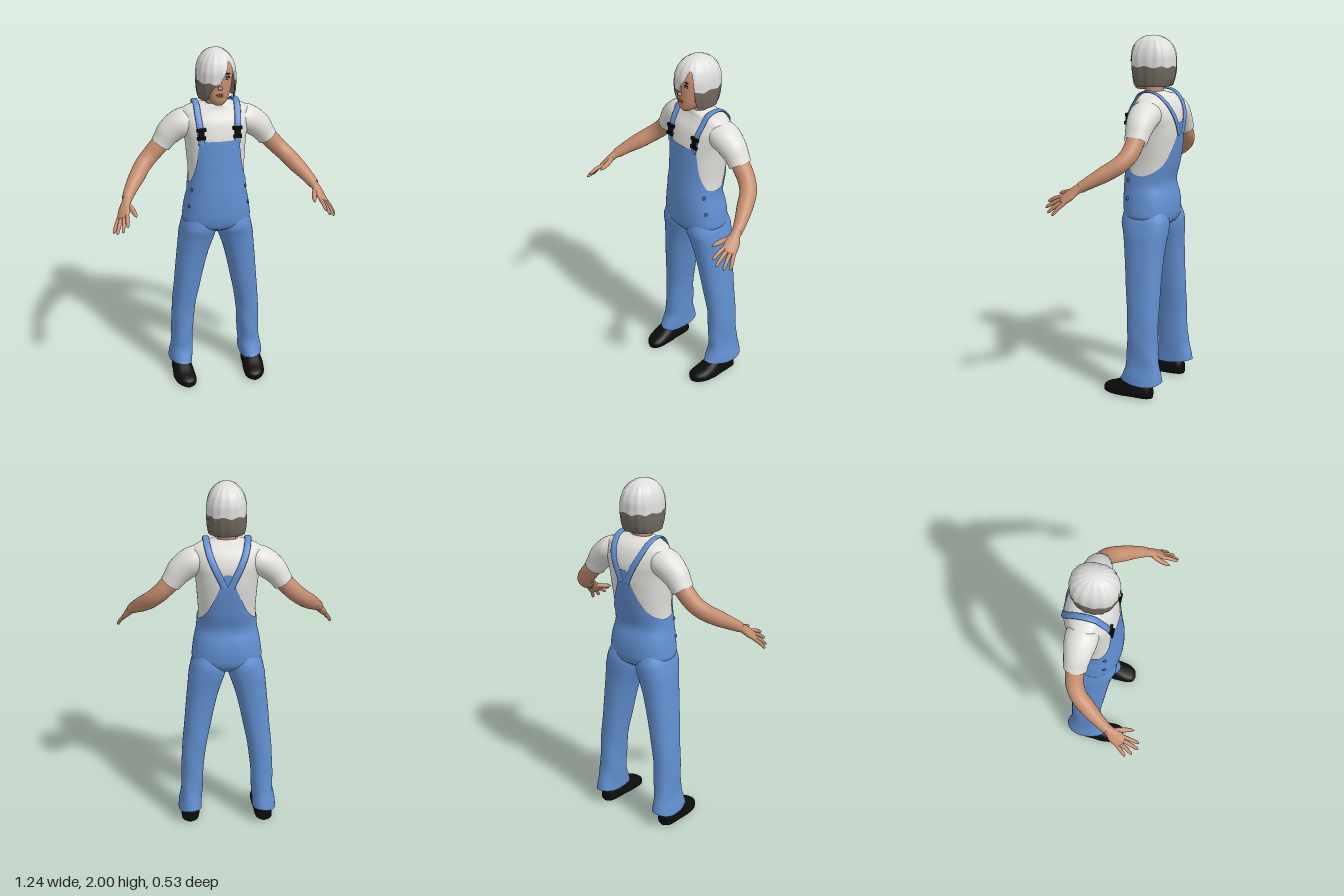
import * as THREE from 'three';

const mat = (name, color) => {
  const m = new THREE.MeshStandardMaterial({ color, side: THREE.DoubleSide });
  m.name = name;
  return m;
};
const spow = (v, e) => Math.sign(v) * Math.abs(v) ** e;

// Smooth, overshoot-free lookup in a table whose first column is the rising key
function at(rows, k) {
  const n = rows.length - 1;
  k = Math.min(Math.max(k, rows[0][0]), rows[n][0]);
  let i = 0;
  while (i < n - 1 && k > rows[i + 1][0]) i++;
  const h = rows[i + 1][0] - rows[i][0], t = (k - rows[i][0]) / h;
  return rows[i].map((_, c) => {
    const slope = j => (rows[j + 1][c] - rows[j][c]) / (rows[j + 1][0] - rows[j][0]);
    const tangent = j => {
      if (j === 0) return slope(0);
      if (j === n) return slope(n - 1);
      const a = slope(j - 1), b = slope(j);
      return a * b > 0 ? 2 * a * b / (a + b) : 0;
    };
    const t2 = t * t, t3 = t2 * t;
    return (2 * t3 - 3 * t2 + 1) * rows[i][c] + (t3 - 2 * t2 + t) * h * tangent(i)
      + (3 * t2 - 2 * t3) * rows[i + 1][c] + (t3 - t2) * h * tangent(i + 1);
  });
}

// Closed-around grid surface: u runs round, v runs along
function grid(nu, nv, fn) {
  const pos = [], idx = [];
  for (let j = 0; j <= nv; j++) for (let i = 0; i < nu; i++) pos.push(...fn(i / nu, j / nv));
  for (let j = 0; j < nv; j++) for (let i = 0; i < nu; i++) {
    const a = j * nu + i, b = j * nu + (i + 1) % nu;
    idx.push(a, b, b + nu, a, b + nu, a + nu);
  }
  const g = new THREE.BufferGeometry();
  g.setAttribute('position', new THREE.Float32BufferAttribute(pos, 3));
  g.setIndex(idx);
  g.computeVertexNormals();
  return g;
}

// Point on a stack of rounded sections [y, centreX, radiusX, zBack, zFront]; angle 0 faces front
const E = 2.3;
function ring(rows, y, angle, off = 0) {
  const [, cx, rx, zb, zf] = at(rows, y);
  return [cx + (rx + off) * spow(Math.sin(angle), 2 / E), y,
    (zb + zf) / 2 + ((zf - zb) / 2 + off) * spow(Math.cos(angle), 2 / E)];
}
// Depth of that surface at a given x, y (dir 1 front, -1 back)
function depth(rows, x, y, dir = 1) {
  const [, cx, rx, zb, zf] = at(rows, y);
  const f = Math.max(0, 1 - Math.abs((x - cx) / rx) ** E) ** (1 / E);
  return (zb + zf) / 2 + dir * f * (zf - zb) / 2;
}

// Tube through points [x, y, z, radius along side, radius across]
function limb(pts, side, nu = 20, nv = 28) {
  const curve = new THREE.CatmullRomCurve3(pts.map(p => new THREE.Vector3(p[0], p[1], p[2])));
  const radii = pts.map((p, i) => [i, p[3], p[4] ?? p[3]]);
  const ref = new THREE.Vector3(...side);
  return grid(nu, nv, (u, v) => {
    const c = curve.getPoint(v), t = curve.getTangent(v);
    const n = ref.clone().cross(t).normalize(), b = t.clone().cross(n);
    const [, rb, rn] = at(radii, v * (pts.length - 1));
    const a = u * Math.PI * 2;
    return c.addScaledVector(n, rn * Math.cos(a)).addScaledVector(b, rb * Math.sin(a)).toArray();
  });
}

const BODY = [
  [0.95, 0, 0.06, -0.17, -0.03], [0.99, 0, 0.17, -0.22, 0.03], [1.03, 0, 0.188, -0.23, 0.043],
  [1.07, 0, 0.184, -0.231, 0.048], [1.13, 0, 0.175, -0.224, 0.049], [1.2, 0, 0.161, -0.208, 0.048],
  [1.3, 0, 0.157, -0.23, 0.04], [1.4, 0, 0.163, -0.247, 0.033], [1.5, 0, 0.172, -0.257, 0.026],
  [1.55, 0, 0.184, -0.257, 0.016], [1.6, 0, 0.193, -0.247, 0], [1.65, 0, 0.186, -0.222, -0.03],
  [1.675, 0, 0.15, -0.195, -0.042], [1.69, 0, 0.085, -0.165, -0.045], [1.7, 0, 0.058, -0.15, -0.05]];
const LEG = [
  [0.09, 0.213, 0.067, -0.252, -0.002], [0.12, 0.211, 0.066, -0.246, -0.012], [0.2, 0.204, 0.062, -0.227, -0.038],
  [0.4, 0.194, 0.066, -0.215, -0.04], [0.6, 0.168, 0.075, -0.215, -0.02], [0.8, 0.137, 0.088, -0.22, 0.002],
  [0.88, 0.12, 0.097, -0.226, 0.014], [0.93, 0.109, 0.103, -0.232, 0.024], [0.98, 0.1, 0.101, -0.234, 0.038],
  [1.06, 0.095, 0.075, -0.21, 0.025]];
// Top edge of the overalls by angle in degrees from the front
const BIB = [[0, 1.51], [33, 1.51], [38, 1.47], [46, 1.38], [58, 1.31], [75, 1.26], [95, 1.25], [115, 1.265],
  [139, 1.31], [155, 1.38], [165, 1.44], [172, 1.5], [176, 1.54], [180, 1.54]];
const FACE = [
  [1.702, 0, 0, -0.03, -0.03], [1.708, 0, 0.025, -0.06, 0.006], [1.735, 0, 0.05, -0.1, 0.02],
  [1.77, 0, 0.068, -0.15, 0.024], [1.82, 0, 0.08, -0.17, 0.025], [1.87, 0, 0.085, -0.18, 0.024],
  [1.93, 0, 0.08, -0.18, 0.008], [1.97, 0, 0.045, -0.14, -0.03], [1.98, 0, 0, -0.09, -0.09]];
const HAIR = [
  [1.72, 0, 0.095, -0.19, 0], [1.74, 0, 0.1, -0.202, 0.01], [1.78, 0, 0.106, -0.215, 0.026],
  [1.835, 0, 0.108, -0.222, 0.033], [1.88, 0, 0.106, -0.222, 0.033], [1.93, 0, 0.094, -0.21, 0.02],
  [1.97, 0, 0.068, -0.18, -0.008], [1.99, 0, 0.042, -0.145, -0.04], [1.998, 0, 0.02, -0.115, -0.068],
  [2, 0, 0, -0.092, -0.092]];
// Lower hair edge by angle: sweeping fringe over one eye, open face on the other side
const HAIRLINE = [[-180, 1.728], [-45, 1.728], [-35, 1.74], [-25, 1.78], [-12, 1.815], [-4, 1.815], [5, 1.86],
  [20, 1.907], [32, 1.948], [40, 1.93], [45, 1.87], [50, 1.75], [58, 1.722], [90, 1.728], [180, 1.728]];
const SHOE = [ // [z, centreX, radiusX, height]
  [-0.197, 0.215, 0, 0.05], [-0.193, 0.215, 0.025, 0.07], [-0.175, 0.215, 0.045, 0.095], [-0.13, 0.214, 0.052, 0.12],
  [-0.07, 0.214, 0.056, 0.125], [-0.02, 0.213, 0.062, 0.1], [0.04, 0.208, 0.06, 0.066], [0.08, 0.202, 0.047, 0.052],
  [0.1, 0.2, 0.027, 0.04], [0.106, 0.2, 0, 0.03]];

export function createModel() {
  const root = new THREE.Group();
  root.name = 'workerInOveralls';
  const skin = mat('skin', 0xc58e6e), white = mat('shirtWhite', 0xe0dfdb), denim = mat('denimBlue', 0x618fd0),
    black = mat('black', 0x0c0c0c), hairWhite = mat('hairWhite', 0xdededd), hairGrey = mat('hairGrey', 0x716a5e),
    lip = mat('lipRed', 0xa5664f), eyeWhite = mat('eyeWhite', 0xd8dde2), iris = mat('irisBlue', 0x24435f),
    button = mat('buttonBlue', 0x3c629b);
  const add = (name, geo, m, parent = root) => {
    const mesh = new THREE.Mesh(geo, m);
    mesh.name = name;
    parent.add(mesh);
    return mesh;
  };
  const TAU = Math.PI * 2;
  const ease = v => Math.sin(v * Math.PI / 2);
  const blob = (name, m, p, r) => {
    const b = add(name, new THREE.SphereGeometry(1, 14, 10), m);
    b.position.set(...p);
    b.scale.set(...r);
  };

  // Shirt body and the overalls shell that hugs it
  add('shirtBody', grid(64, 48, (u, v) => ring(BODY, 1.2 + 0.5 * ease(v), u * TAU)), white);
  add('overallsBody', grid(160, 36, (u, v) => {
    const top = at(BIB, 180 - Math.abs(360 * u - 180))[1];
    return ring(BODY, 0.95 + (top - 0.95) * v, u * TAU, 0.006);
  }), denim);

  // Neck, head and face
  add('neck', new THREE.CylinderGeometry(0.047, 0.053, 0.16, 24).translate(0, 1.7, -0.1), skin);
  add('head', grid(40, 32, (u, v) => ring(FACE, 1.841 - 0.139 * Math.cos(v * Math.PI), u * TAU)), skin);
  const fz = (x, y) => depth(FACE, x, y);
  blob('noseBridge', skin, [0, 1.835, fz(0, 1.835)], [0.008, 0.028, 0.007]);
  blob('noseTip', skin, [0, 1.81, fz(0, 1.81) + 0.004], [0.013, 0.01, 0.011]);
  blob('upperLip', lip, [0, 1.773, fz(0, 1.773)], [0.022, 0.005, 0.004]);
  blob('lowerLip', lip, [0, 1.765, fz(0, 1.765)], [0.017, 0.005, 0.004]);
  for (const s of [-1, 1]) {
    const x = 0.037 * s, z = fz(x, 1.862);
    blob('eyeLash', black, [x, 1.865, z], [0.019, 0.009, 0.003]);
    blob('eye', eyeWhite, [x, 1.861, z + 0.001], [0.014, 0.006, 0.004]);
    blob('iris', iris, [x, 1.862, z + 0.003], [0.006, 0.006, 0.003]);
    blob('eyebrow', black, [x, 1.885, fz(x, 1.885)], [0.021, 0.004, 0.003]);
  }

  // Bobbed hair: pale crown above, darker band below
  const strand = (u, y) => ring(HAIR, y, u * TAU, y > 1.995 ? 0 : 0.0015 * Math.sin(u * TAU * 16));
  const edge = u => at(HAIRLINE, u > 0.5 ? 360 * u - 360 : 360 * u)[1];
  const split = u => Math.max(edge(u), 1.835 + 0.005 * Math.sin(u * TAU * 9));
  add('hairCrown', grid(120, 28, (u, v) => strand(u, split(u) + (2 - split(u)) * ease(v))), hairWhite);
  add('hairLower', grid(120, 10, (u, v) => strand(u, edge(u) + (split(u) - edge(u)) * v)), hairGrey);

  for (const s of [-1, 1]) {
    const side = s > 0 ? 'left' : 'right';
    const mir = pts => pts.map(([x, ...r]) => [x * s, ...r]);

    // Trouser leg with a slightly rumpled hem
    add(side + 'TrouserLeg', grid(40, 48, (u, v) => {
      const a = u * TAU, y = 0.09 + 0.97 * v;
      const p = ring(LEG, y, a, 0.003 * Math.sin(3 * a + 30 * y) * (1 - v) ** 3);
      if (v === 0) p[1] += 0.01 * Math.sin(2 * a + 1);
      p[0] *= s;
      return p;
    }).applyMatrix4(new THREE.Matrix4()), denim);

    // Shoe with flat sole
    add(side + 'Shoe', grid(28, 32, (u, v) => {
      const [z, cx, rx, h] = at(SHOE, -0.0455 - 0.1515 * Math.cos(v * Math.PI));
      const c = Math.cos(u * TAU), k = Math.sin(u * TAU);
      return [cx * s + rx * spow(c, 0.7), k > 0 ? 0.025 + (h - 0.025) * k : 0.025 * (1 - (-k) ** 0.4), z];
    }), black);

    // Sleeve and arm
    add(side + 'Sleeve', limb(mir([[0.1, 1.59, -0.125, 0.08, 0.07], [0.18, 1.58, -0.13, 0.088, 0.078],
      [0.25, 1.53, -0.135, 0.075, 0.072], [0.285, 1.485, -0.138, 0.066, 0.061],
      [0.303, 1.459, -0.138, 0.063, 0.057]]), [0, 0, 1], 32), white);
    const across = [0.7 * s, -0.45, -0.45];
    add(side + 'Arm', limb(mir([[0.25, 1.525, -0.138, 0.05], [0.31, 1.455, -0.138, 0.05], [0.365, 1.397, -0.13, 0.048],
      [0.412, 1.352, -0.1, 0.046], [0.452, 1.312, -0.045, 0.044], [0.492, 1.273, 0.015, 0.036],
      [0.525, 1.235, 0.075, 0.028]]), across, 24, 40), skin);

    // Hand: palm, four fingers and thumb
    const hand = new THREE.Group();
    hand.name = side + 'Hand';
    root.add(hand);
    add('palm', limb(mir([[0.515, 1.245, 0.06, 0.026, 0.024], [0.53, 1.225, 0.09, 0.028, 0.022],
      [0.546, 1.195, 0.125, 0.04, 0.019], [0.56, 1.167, 0.16, 0.04, 0.014], [0.566, 1.155, 0.176, 0, 0]]), across), skin, hand);
    const tips = [[0.545, 1.15, 0.257], [0.571, 1.12, 0.258], [0.6, 1.1, 0.23], [0.615, 1.092, 0.193]];
    tips.forEach((tip, i) => {
      const k = (i - 1.5) * 0.02;
      const base = [0.557 + 0.7 * k, 1.172 - 0.45 * k, 0.152 - 0.45 * k];
      const mix = (f, lift) => base.map((b, c) => b + (tip[c] - b) * f + (c === 1 ? lift : 0));
      add('finger', limb(mir([[...base, 0.011], [...mix(0.5, 0.006), 0.0105], [...mix(0.9, 0.002), 0.008],
        [...tip, 0]]), across, 10, 14), skin, hand);
    });
    add('thumb', limb(mir([[0.53, 1.225, 0.095, 0.014], [0.508, 1.207, 0.145, 0.014], [0.495, 1.195, 0.195, 0.011],
      [0.491, 1.188, 0.22, 0]]), [0, 1, 0], 10, 14), skin, hand);

    // Shoulder strap: up the chest, over the shoulder, in to the middle of the back
    const on = (x, y, dir) => [x, y, depth(BODY, x, y, dir) + 0.006 * dir, 0.018, 0.006];
    add(side + 'Strap', limb(mir([on(0.098, 1.49, 1), on(0.102, 1.55, 1), on(0.106, 1.6, 1), on(0.11, 1.645, 1),
      [0.112, 1.692, -0.07, 0.018, 0.006], [0.112, 1.705, -0.12, 0.018, 0.006], [0.108, 1.69, -0.175, 0.018, 0.006],
      on(0.096, 1.645, -1), on(0.074, 1.59, -1), on(0.045, 1.53, -1), on(0.018, 1.47, -1)]), [1, 0, 0], 12, 60), denim);

    // Strap buckle
    for (const [y, w, h] of [[1.575, 0.052, 0.016], [1.553, 0.03, 0.034], [1.53, 0.046, 0.018]]) {
      const z = depth(BODY, 0.1, y) + 0.012;
      add(side + 'Buckle', new THREE.BoxGeometry(w, h, 0.014).translate(0.1 * s, y, z), black);
    }

    // Hip buttons
    for (const y of [1.22, 1.12]) {
      const p = ring(BODY, y, 1.13, 0.006);
      blob(side + 'HipButton', button, [p[0] * s, y, p[2]], [0.007, 0.011, 0.011]);
    }
  }

  // Correct face order on the mirrored trouser leg
  const leg = root.getObjectByName('rightTrouserLeg').geometry;
  leg.setIndex(Array.from(leg.index.array).reverse());
  leg.computeVertexNormals();
  return root;
}
